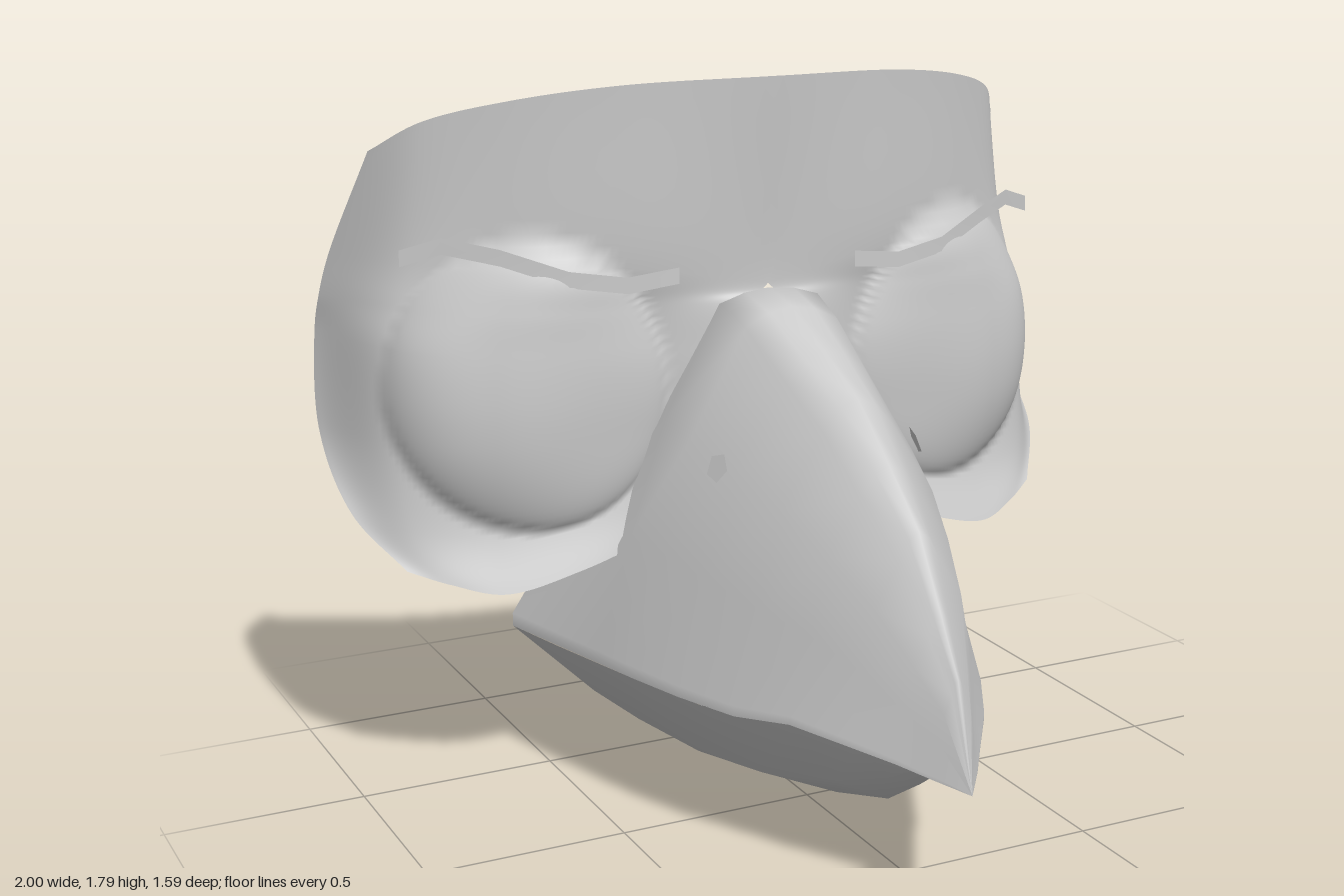
import * as THREE from 'three';

const V = (p) => new THREE.Vector3(...p);
const material = new THREE.MeshStandardMaterial({ color: 0xcccccc, side: THREE.DoubleSide });

// Smooth surface through a grid of points: rows[i][j] = [x, y, z]
function gridSurface(rows) {
  const n = rows[0].length;
  const index = [];
  for (let i = 0; i < rows.length - 1; i++) {
    for (let j = 0; j < n - 1; j++) {
      const a = i * n + j;
      index.push(a, a + 1, a + n, a + 1, a + n + 1, a + n);
    }
  }
  const geometry = new THREE.BufferGeometry();
  geometry.setAttribute('position', new THREE.Float32BufferAttribute(rows.flat(2), 3));
  geometry.setIndex(index);
  geometry.computeVertexNormals();
  return geometry;
}

function addMesh(group, name, geometry) {
  const mesh = new THREE.Mesh(geometry, material);
  mesh.name = name;
  group.add(mesh);
  return mesh;
}

// Half of the face plate, lower edge to upper edge, each row from nose to temple
const plateRows = [
  [[0.30, 0.67, -0.22], [0.50, 0.60, -0.24], [0.68, 0.555, -0.28], [0.80, 0.58, -0.34], [0.89, 0.61, -0.40]],
  [[0.28, 0.76, -0.23], [0.47, 0.72, -0.28], [0.68, 0.69, -0.34], [0.87, 0.70, -0.42], [0.98, 0.73, -0.54]],
  [[0.23, 0.93, -0.24], [0.42, 0.92, -0.31], [0.66, 0.92, -0.37], [0.88, 0.92, -0.455], [1.00, 0.91, -0.73]],
  [[0.17, 1.12, -0.22], [0.40, 1.14, -0.30], [0.65, 1.15, -0.375], [0.87, 1.15, -0.465], [0.98, 1.15, -0.79]],
  [[0.11, 1.24, -0.21], [0.38, 1.24, -0.28], [0.63, 1.25, -0.36], [0.85, 1.25, -0.48], [0.97, 1.24, -0.77]],
  [[0.00, 1.28, -0.21], [0.36, 1.34, -0.25], [0.62, 1.35, -0.345], [0.83, 1.35, -0.49], [0.95, 1.34, -0.74]],
  [[0.00, 1.79, -0.165], [0.37, 1.78, -0.23], [0.61, 1.745, -0.34], [0.78, 1.69, -0.48], [0.875, 1.61, -0.61]],
];

function facePlate(side) {
  const curves = plateRows.map((row) => new THREE.CatmullRomCurve3(row.map(V)));
  const COLS = 64, ROWS = 72;
  const columns = [];
  for (let j = 0; j <= COLS; j++) {
    columns.push(new THREE.CatmullRomCurve3(curves.map((c) => c.getPoint(j / COLS))));
  }
  const rows = [];
  for (let i = 0; i <= ROWS; i++) {
    rows.push(columns.map((column) => {
      const p = column.getPoint(i / ROWS);
      // Push the eye out of the plate as a hollow dome that fades into the forehead
      const height = p.y > 1.03 ? 0.38 : 0.335;
      const r2 = ((p.x - 0.58) / 0.325) ** 2 + ((p.y - 1.03) / height) ** 2;
      if (r2 < 1) {
        const d = 0.12 * (1 - r2) ** 0.75;
        p.x += 0.3 * d;
        p.z += 0.95 * d;
      }
      return [side * p.x, p.y, p.z];
    }));
  }
  const geometry = gridSurface(rows);
  // Smooth shading across the centre line, where the two halves meet
  const { position, normal } = geometry.attributes;
  for (let i = 0; i < position.count; i++) {
    if (Math.abs(position.getX(i)) < 0.001) normal.setX(i, 0);
  }
  geometry.normalizeNormals();
  return geometry;
}

// Thin wavy brow: x, centre height, z
const browPoints = [
  [0.24, 1.32, -0.205], [0.37, 1.305, -0.215], [0.51, 1.327, -0.24],
  [0.66, 1.383, -0.30], [0.78, 1.41, -0.37], [0.87, 1.38, -0.415],
];

function brow(side) {
  return gridSurface([-0.02, 0.02].map((dy) => browPoints.map(([x, y, z]) => [side * x, y + dy, z])));
}

// Upper beak stations, back to front: z, ridge height, lip height, half width
const upperStations = [
  [-0.20, 1.27, 0.365, 0.47], [-0.08, 1.245, 0.365, 0.44], [0.09, 1.17, 0.365, 0.39],
  [0.26, 1.09, 0.365, 0.325], [0.41, 0.97, 0.385, 0.255], [0.55, 0.85, 0.37, 0.18],
  [0.65, 0.69, 0.35, 0.11], [0.73, 0.56, 0.33, 0.055], [0.80, 0.31, 0.31, 0.0],
];
// Lower beak stations: z, keel height, lip height, half width
const lowerStations = [
  [-0.38, 0.01, 0.365, 0.52], [-0.10, 0.02, 0.365, 0.445], [0.16, 0.07, 0.365, 0.365],
  [0.42, 0.155, 0.385, 0.245], [0.57, 0.25, 0.375, 0.155], [0.69, 0.335, 0.345, 0.03],
];

// Mirror a half section that starts on the centre line
const mirrored = (half, side) => [
  ...half.slice(1).reverse().map(([x, y, z]) => [side * x, y, z]),
  ...half.map(([x, y, z]) => [-side * x, y, z]),
];

function upperBeak() {
  const rim = [
    [0, 1.2, -0.5], [0.05, 1.19, -0.51], [0.10, 1.15, -0.53], [0.27, 0.82, -0.585],
    [0.41, 0.62, -0.575], [0.565, 0.40, -0.565], [0.565, 0.365, -0.565],
  ];
  const sections = upperStations.map(([z, top, lip, w]) => {
    // The ridge grows rounder and the cheeks pinch in towards the tip
    const front = Math.max(0, z + 0.2);
    const round = 0.03 + 0.14 * front;
    return [
      [0, 0], [0.14, 0.25 * round], [0.28, round], [0.62, 0.34],
      [0.82 - 0.06 * front, 0.65], [1, 0.965], [1, 1],
    ].map(([fx, drop]) => [fx * w, top - drop * (top - lip), z]);
  });
  return gridSurface([rim, ...sections].map((half) => mirrored(half, 1)));
}

function lowerBeak() {
  const rim = [[0, 0, -0.67], [0.32, 0.12, -0.63], [0.565, 0.365, -0.565]];
  const sections = lowerStations.map(([z, keel, lip, w]) =>
    [[0, keel, z], [0.57 * w, keel + 0.32 * (lip - keel), z], [w, lip, z]]);
  return gridSurface([rim, ...sections].map((half) => mirrored(half, -1)));
}

export function createModel() {
  const model = new THREE.Group();
  model.name = 'birdMask';

  addMesh(model, 'upperBeak', upperBeak());
  addMesh(model, 'lowerBeak', lowerBeak());

  for (const [label, side] of [['left', 1], ['right', -1]]) {
    addMesh(model, label + 'FacePlate', facePlate(side));
    addMesh(model, label + 'Eyebrow', brow(side));
    // Five-sided nostril lying on the beak wall
    const nostril = addMesh(model, label + 'Nostril', new THREE.CircleGeometry(0.037, 5));
    nostril.position.set(side * 0.268, 0.91, 0.06);
    nostril.lookAt(side * 1.168, 1.26, 0.28);
  }
  return model;
}
